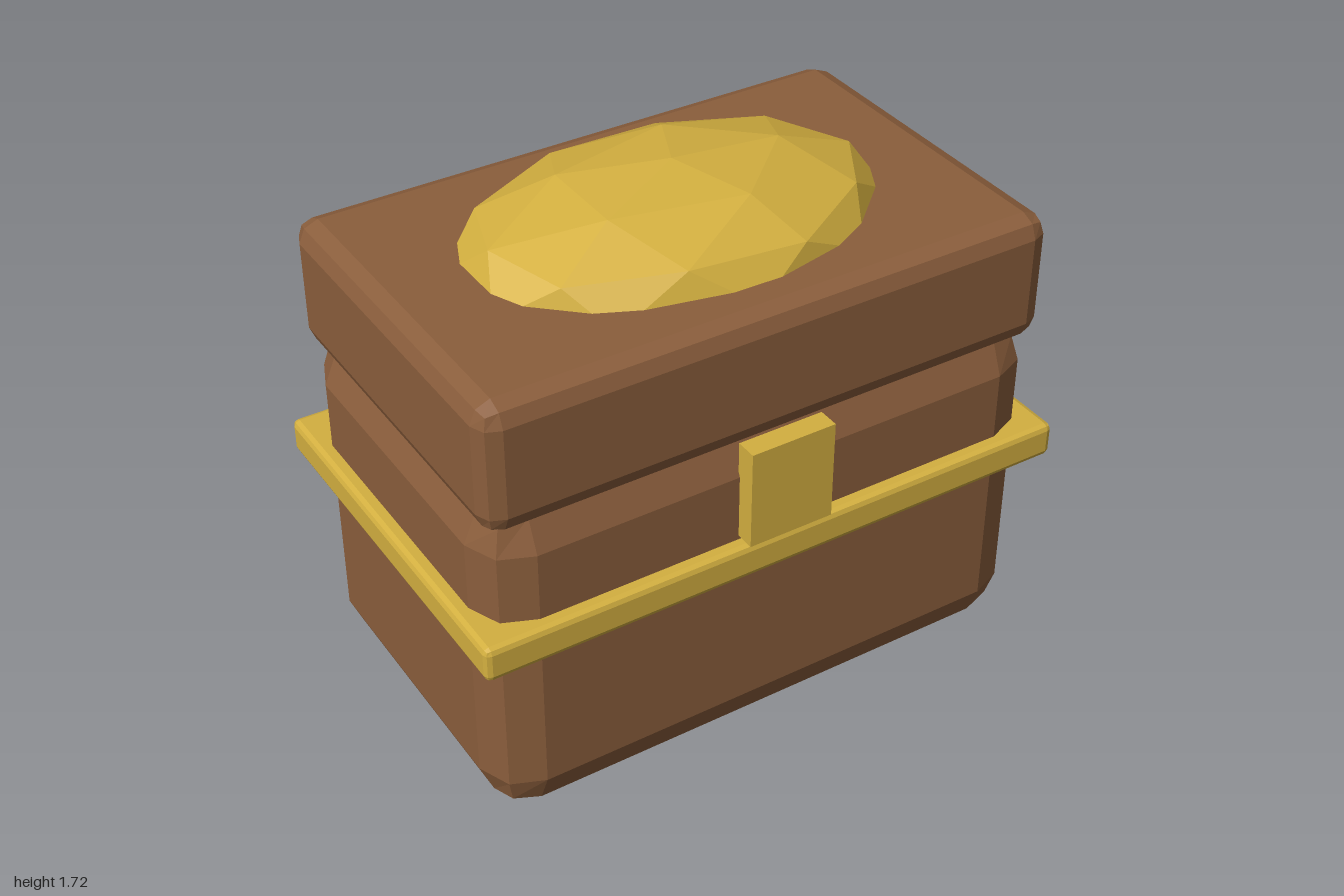
import * as THREE from 'three';
import { RoundedBoxGeometry } from 'three/addons/geometries/RoundedBoxGeometry.js';

const flat = (name, color) => {
  const m = new THREE.MeshStandardMaterial({ color, flatShading: true });
  m.name = name;
  return m;
};

export function createModel() {
  const brown = flat('brown', 0x8b5e3c);
  const gold = flat('gold', 0xd4b040);
  const group = new THREE.Group();
  group.name = 'chest';
  const zc = -0.008; // the box sits slightly back so the clasp balances it

  const add = (name, geometry, material, x, y, z) => {
    const mesh = new THREE.Mesh(geometry, material);
    mesh.name = name;
    mesh.position.set(x, y, z);
    group.add(mesh);
  };

  // Box with two-step bevels, spanning y0 to y1
  const bevelled = (name, material, w, y0, y1, d, r) =>
    add(name, new RoundedBoxGeometry(w, y1 - y0, d, 1, r), material, 0, (y0 + y1) / 2, zc);

  bevelled('body', brown, 1.9, 0, 1.15, 1.19, 0.148);
  bevelled('lid', brown, 1.9, 1.1, 1.523, 1.19, 0.065);
  bevelled('band', gold, 2, 0.66, 0.776, 1.284, 0.02);

  // Clasp on the front
  add('clasp', new THREE.BoxGeometry(0.284, 0.33, 0.07), gold, 0, 0.955, 0.615);

  // Faceted dome sunk into the lid, with one vertex pointing straight up
  const dome = new THREE.IcosahedronGeometry(1, 1);
  dome.rotateZ(-Math.atan(2 / (1 + Math.sqrt(5))));
  dome.scale(0.71, 0.24, 0.48);
  add('dome', dome, gold, 0, 1.475, zc);

  return group;
}
